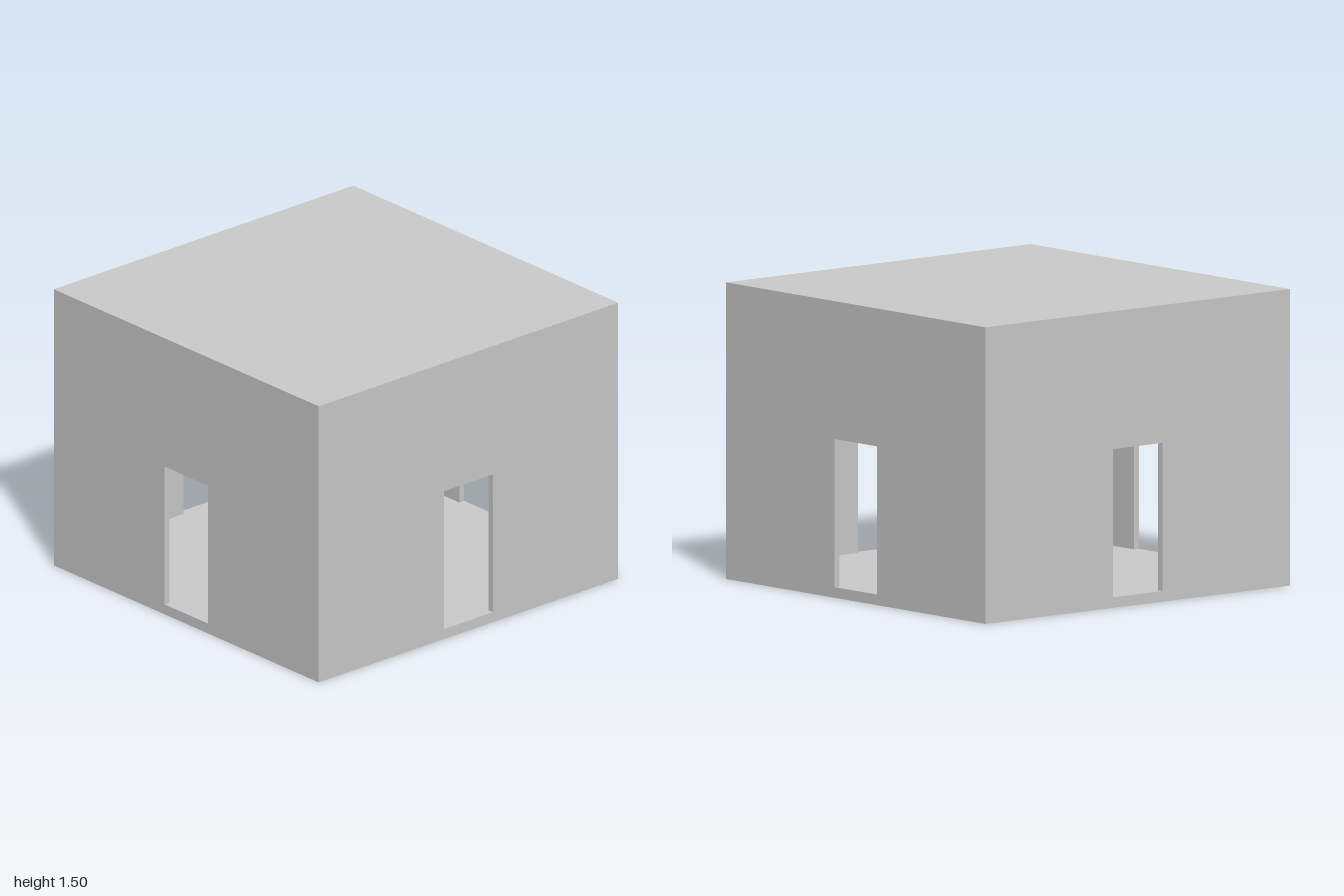
import * as THREE from 'three';

const H = 1.5, T = 0.033;            // outer height, wall thickness
const FLOOR = 0.054, CEIL = 1.445;   // inner floor and ceiling heights
const DOOR_W = 0.325, DOOR_TOP = 0.803;
const D = DOOR_W / 2, DOOR_H = DOOR_TOP - FLOOR, IN = 1 - T;

const material = new THREE.MeshStandardMaterial({ color: 0xcccccc });

function add(parent, name, geometry, position = [0, 0, 0], rotation = [0, 0, 0]) {
  const mesh = new THREE.Mesh(geometry, material);
  mesh.name = name;
  mesh.position.set(...position);
  mesh.rotation.set(...rotation);
  parent.add(mesh);
}

const outline = (points) => new THREE.Shape(points.map(([x, y]) => new THREE.Vector2(x, y)));

// One wall facing +z: outer skin, inner skin and the lining of its doorway
function makeWall() {
  const wall = new THREE.Group();

  const outer = outline([[-1, 0], [1, 0], [1, H], [-1, H]]);
  outer.holes.push(outline([[-D, FLOOR], [-D, DOOR_TOP], [D, DOOR_TOP], [D, FLOOR]]));
  add(wall, 'outerFace', new THREE.ShapeGeometry(outer), [0, 0, 1]);

  // The inner skin starts at floor level, so its doorway is an open notch
  const inner = outline([
    [-IN, FLOOR], [-D, FLOOR], [-D, DOOR_TOP], [D, DOOR_TOP],
    [D, FLOOR], [IN, FLOOR], [IN, CEIL], [-IN, CEIL],
  ]);
  add(wall, 'innerFace', new THREE.ShapeGeometry(inner), [0, 0, IN], [0, Math.PI, 0]);

  // Doorway lining: jambs, lintel and sill
  const z = 1 - T / 2, midY = FLOOR + DOOR_H / 2;
  for (const side of [-1, 1]) {
    add(wall, side < 0 ? 'rightJamb' : 'leftJamb', new THREE.PlaneGeometry(T, DOOR_H),
      [side * D, midY, z], [0, -side * Math.PI / 2, 0]);
  }
  add(wall, 'lintel', new THREE.PlaneGeometry(DOOR_W, T), [0, DOOR_TOP, z], [Math.PI / 2, 0, 0]);
  add(wall, 'sill', new THREE.PlaneGeometry(DOOR_W, T), [0, FLOOR, z], [-Math.PI / 2, 0, 0]);
  return wall;
}

export function createModel() {
  const room = new THREE.Group();
  room.name = 'room';

  // Four identical walls, each with a centred doorway
  ['frontWall', 'leftWall', 'backWall', 'rightWall'].forEach((name, i) => {
    const wall = makeWall();
    wall.name = name;
    wall.rotation.y = i * Math.PI / 2;
    room.add(wall);
  });

  // Horizontal surfaces of the floor and roof slabs
  const up = [-Math.PI / 2, 0, 0], down = [Math.PI / 2, 0, 0];
  add(room, 'roof', new THREE.PlaneGeometry(2, 2), [0, H, 0], up);
  add(room, 'ceiling', new THREE.PlaneGeometry(2 * IN, 2 * IN), [0, CEIL, 0], down);
  add(room, 'floor', new THREE.PlaneGeometry(2 * IN, 2 * IN), [0, FLOOR, 0], up);
  add(room, 'underside', new THREE.PlaneGeometry(2, 2), [0, 0, 0], down);

  return room;
}
